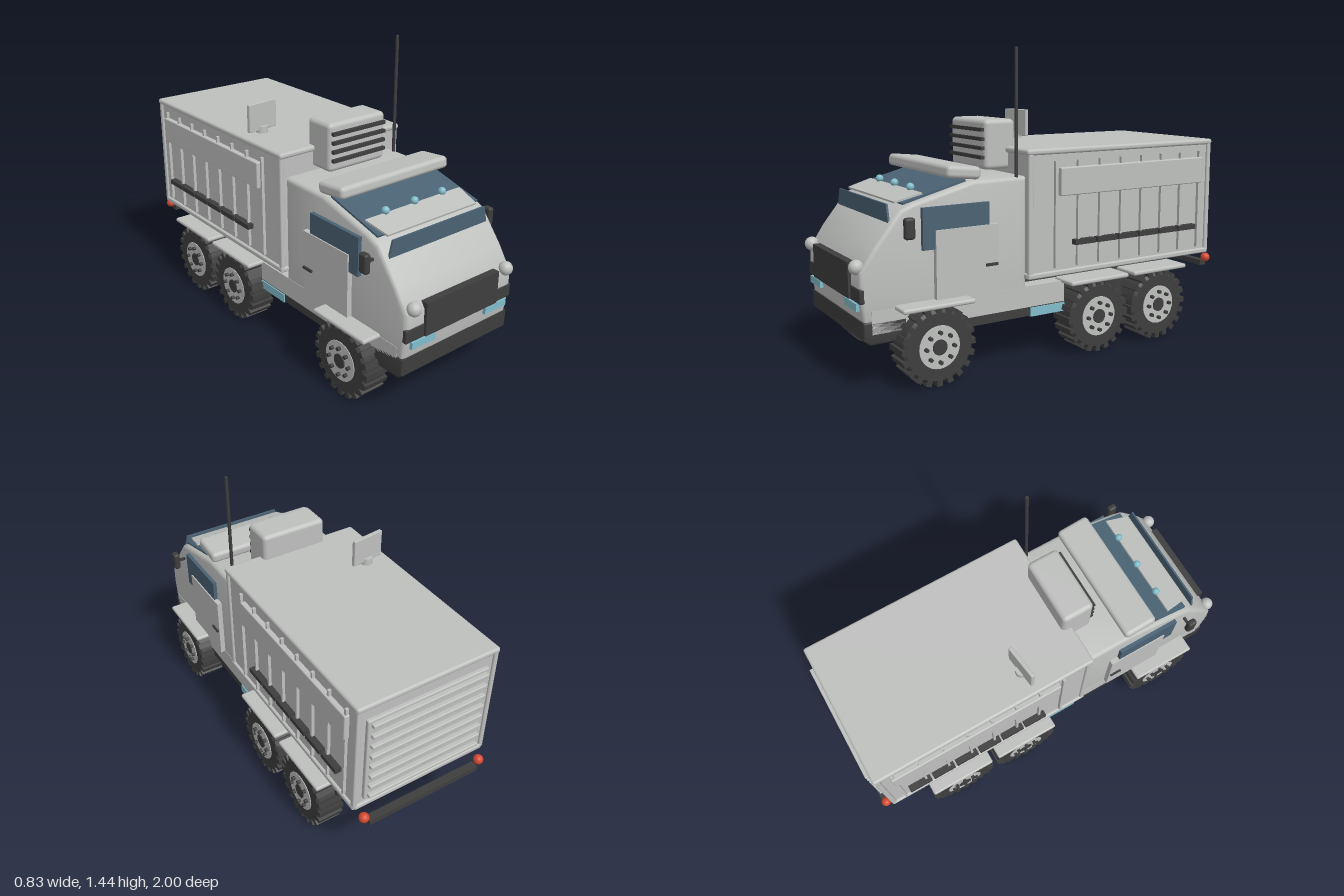
import * as THREE from 'three';
import { RoundedBoxGeometry } from 'three/addons/geometries/RoundedBoxGeometry.js';
import { toCreasedNormals } from 'three/addons/utils/BufferGeometryUtils.js';

const paint = (name, color) => {
  const m = new THREE.MeshStandardMaterial({ color });
  m.name = name;
  return m;
};

export function createModel() {
  const grey = paint('body grey', 0xbec0be);
  const dark = paint('rubber and trim', 0x3e3e3e);
  const glass = paint('window blue', 0x4a6273);
  const aqua = paint('lamp blue', 0x82bccb);
  const red = paint('tail red', 0xd24a32);
  const model = new THREE.Group();
  model.name = 'truck';

  const add = (name, geo, mat, x = 0, y = 0, z = 0, parent = model) => {
    const mesh = new THREE.Mesh(geo, mat);
    mesh.name = name;
    mesh.position.set(x, y, z);
    parent.add(mesh);
    return mesh;
  };
  // box given by its limits on each axis
  const box = (name, mat, [x0, x1], [y0, y1], [z0, z1], round = 0) => {
    const s = [x1 - x0, y1 - y0, z1 - z0];
    const geo = round ? new RoundedBoxGeometry(...s, 3, round) : new THREE.BoxGeometry(...s);
    return add(name, geo, mat, (x0 + x1) / 2, (y0 + y1) / 2, (z0 + z1) / 2);
  };
  // the same box on both sides of the truck
  const pair = (name, mat, [x0, x1], y, z, round) => {
    box(name + 'Left', mat, [x0, x1], y, z, round);
    box(name + 'Right', mat, [-x1, -x0], y, z, round);
  };
  const ball = (name, mat, r, x, y, z) => add(name, new THREE.SphereGeometry(r, 20, 14), mat, x, y, z);
  // side profile of [z, y] points extruded across the width
  const hull = (name, mat, points, halfWidth, bevel) => {
    const shape = new THREE.Shape(points.map(([z, y]) => new THREE.Vector2(z, y)));
    const geo = new THREE.ExtrudeGeometry(shape, {
      depth: 2 * (halfWidth - bevel), bevelThickness: bevel, bevelSize: bevel,
      bevelOffset: -bevel, bevelSegments: 3,
    });
    geo.translate(0, 0, -(halfWidth - bevel)).rotateY(-Math.PI / 2);
    return add(name, toCreasedNormals(geo, 0.6), mat);
  };

  // Cab and chassis
  hull('cab', grey, [[0.16, 0.3], [0.95, 0.3], [0.968, 0.42], [0.965, 0.52], [0.9, 0.62],
    [0.785, 0.765], [0.72, 0.792], [0.43, 0.866], [0.16, 0.866]], 0.323, 0.02);
  hull('frontBumper', dark, [[0.76, 0.21], [0.93, 0.21], [0.955, 0.23], [0.957, 0.31], [0.76, 0.31]], 0.325, 0.008);
  box('chassis', dark, [-0.28, 0.28], [0.21, 0.32], [-0.74, 0.9]);
  box('chassisRearEnd', dark, [-0.3, 0.3], [0.225, 0.325], [-0.745, -0.69], 0.012);
  pair('sill', dark, [0.26, 0.322], [0.212, 0.26], [-0.06, 0.8]);
  pair('skirt', grey, [0.25, 0.325], [0.255, 0.355], [-0.05, 0.92]);
  pair('sideTank', aqua, [0.24, 0.328], [0.208, 0.25], [-0.05, 0.14]);

  // Front details
  box('grille', dark, [-0.22, 0.22], [0.395, 0.55], [0.93, 0.98]);
  box('grilleBand', dark, [-0.322, 0.322], [0.388, 0.455], [0.9, 0.97], 0.008);
  pair('frontLamp', aqua, [0.155, 0.29], [0.355, 0.388], [0.94, 0.975]);
  for (const s of [-1, 1]) ball('headlight', grey, 0.032, s * 0.28, 0.54, 0.966);

  // Windscreen: sloped glass, cover panel and upright lower strip
  const slope = 0.255;
  const trapezoid = (top, bottom, length, depth) => {
    const h = length / 2;
    const shape = new THREE.Shape([[-bottom, -h], [bottom, -h], [top, h], [-top, h]]
      .map(p => new THREE.Vector2(...p)));
    return new THREE.ExtrudeGeometry(shape, { depth, bevelEnabled: false });
  };
  const upper = add('upperWindscreen', trapezoid(0.3, 0.3, 0.31, 0.009), glass, 0, 0.8235, 0.61);
  upper.rotation.x = slope - Math.PI / 2;
  const cover = add('windscreenCover', trapezoid(0.285, 0.265, 0.125, 0.009), grey, 0, 0.803, 0.722);
  cover.rotation.x = slope - Math.PI / 2;
  add('lowerWindscreen', trapezoid(0.275, 0.295, 0.08, 0.009), glass, 0, 0.75, 0.817);
  for (const x of [-0.17, 0, 0.17]) ball('roofLamp', aqua, 0.018, x, 0.838, 0.665);
  const visor = box('roofVisor', grey, [-0.32, 0.32], [0.874, 0.931], [0.39, 0.558], 0.02);
  visor.rotation.x = -0.1;

  // Doors, side windows and mirrors
  pair('sideWindow', glass, [0.31, 0.342], [0.588, 0.77], [0.367, 0.69]);
  pair('door', grey, [0.31, 0.348], [0.352, 0.67], [0.322, 0.632]);
  pair('doorHandle', dark, [0.345, 0.357], [0.485, 0.497], [0.33, 0.39]);
  pair('mirror', dark, [0.357, 0.39], [0.65, 0.742], [0.743, 0.79], 0.012);
  pair('mirrorArm', dark, [0.32, 0.365], [0.69, 0.702], [0.755, 0.767]);

  // Roof cooling unit with dark slats
  box('coolingUnit', grey, [-0.168, 0.168], [0.885, 1.117], [0.125, 0.286], 0.022);
  for (let i = 0; i < 4; i++) {
    const y = 0.943 + i * 0.0425;
    box('coolingSlat', dark, [-0.155, 0.155], [y - 0.008, y + 0.008], [0.28, 0.302]);
  }

  // Antenna and swivelling panel
  add('antenna', new THREE.CylinderGeometry(0.008, 0.008, 0.58, 10), dark, 0.305, 1.152, 0.205);
  add('panelMount', new THREE.CylinderGeometry(0.028, 0.03, 0.04, 16), grey, -0.24, 1.003, -0.138);
  const panel = box('roofPanel', grey, [-0.325, -0.155], [1.003, 1.14], [-0.148, -0.128], 0.004);
  panel.rotation.y = 0.13;

  // Cargo container
  box('container', grey, [-0.348, 0.348], [0.4, 0.975], [-0.94, 0.165]);
  box('containerRoof', grey, [-0.362, 0.362], [0.962, 0.99], [-0.955, 0.178], 0.012);
  pair('bottomRail', grey, [0.33, 0.361], [0.392, 0.418], [-0.948, 0.172], 0.008);
  box('frontBottomRail', grey, [-0.35, 0.35], [0.392, 0.418], [0.15, 0.175], 0.008);
  box('rearBottomRail', grey, [-0.35, 0.35], [0.392, 0.418], [-0.953, -0.93], 0.008);
  for (const z of [-0.938, 0.158]) pair('cornerPost', grey, [0.335, 0.359], [0.4, 0.97], [z - 0.013, z + 0.013], 0.008);
  for (let i = 0; i < 8; i++) {
    const z = 0.022 - i * 0.1275;
    pair('sideRib', grey, [0.34, 0.363], [0.43, 0.93], [z - 0.006, z + 0.006]);
  }
  pair('sidePanel', grey, [0.34, 0.372], [0.768, 0.9], [-0.882, 0.002], 0.006);
  for (let i = 0; i < 6; i++) {
    const z = -0.135 - i * 0.129;
    pair('sideStep', dark, [0.345, 0.38], [0.532, 0.556], [z - 0.059, z + 0.059]);
  }

  // Rear shutter, bumper bar and tail lamps
  box('rearShutter', grey, [-0.31, 0.31], [0.445, 0.905], [-0.958, -0.935], 0.006);
  for (let i = 0; i < 8; i++) {
    const y = 0.468 + i * 0.059;
    box('shutterSlat', grey, [-0.295, 0.295], [y - 0.009, y + 0.009], [-0.978, -0.95], 0.005);
  }
  box('rearBar', dark, [-0.3, 0.3], [0.308, 0.335], [-0.995, -0.957]);
  for (const s of [-1, 1]) ball('tailLamp', red, 0.024, s * 0.318, 0.354, -0.976);

  // Wheels: tyre with tread blocks, hub disc, cap and bolts; outer side faces +x
  const makeWheel = () => {
    const wheel = new THREE.Group();
    wheel.name = 'wheel';
    const profile = [[0.094, -0.062], [0.15, -0.062], [0.163, -0.05], [0.163, 0.05], [0.15, 0.062], [0.094, 0.062], [0.09, 0.045]]
      .map(p => new THREE.Vector2(...p));
    const tyre = new THREE.LatheGeometry(profile, 40).rotateZ(-Math.PI / 2);
    add('tyre', toCreasedNormals(tyre, 0.7), dark, 0, 0, 0, wheel);
    const disc = (name, r, x, w, mat, y = 0, z = 0) =>
      add(name, new THREE.CylinderGeometry(r, r, w, r > 0.02 ? 28 : 10).rotateZ(Math.PI / 2), mat, x, y, z, wheel);
    disc('hub', 0.096, 0.005, 0.12, grey);
    disc('hubCap', 0.034, 0.04, 0.06, dark);
    for (let i = 0; i < 8; i++) {
      const a = i * Math.PI / 4;
      disc('bolt', 0.009, 0.068, 0.026, dark, 0.066 * Math.cos(a), 0.066 * Math.sin(a));
    }
    for (let i = 0; i < 20; i++) {
      const a = i * Math.PI / 10;
      const lug = add('treadBlock', new THREE.BoxGeometry(0.126, 0.03, 0.026), dark,
        0, 0.16 * Math.cos(a), 0.16 * Math.sin(a), wheel);
      lug.rotation.x = a;
    }
    return wheel;
  };
  for (const z of [0.647, -0.203, -0.578]) {
    for (const s of [-1, 1]) {
      const wheel = makeWheel();
      wheel.position.set(s * 0.334, 0.175, z);
      if (s < 0) wheel.rotation.y = Math.PI;
      model.add(wheel);
    }
    add('axle', new THREE.CylinderGeometry(0.023, 0.023, 0.6, 16).rotateZ(Math.PI / 2), dark, 0, 0.177, z);
    pair('fender', grey, [0.27, 0.415], [0.345, 0.366], [z - 0.17, z + 0.17], 0.009);
  }
  return model;
}
